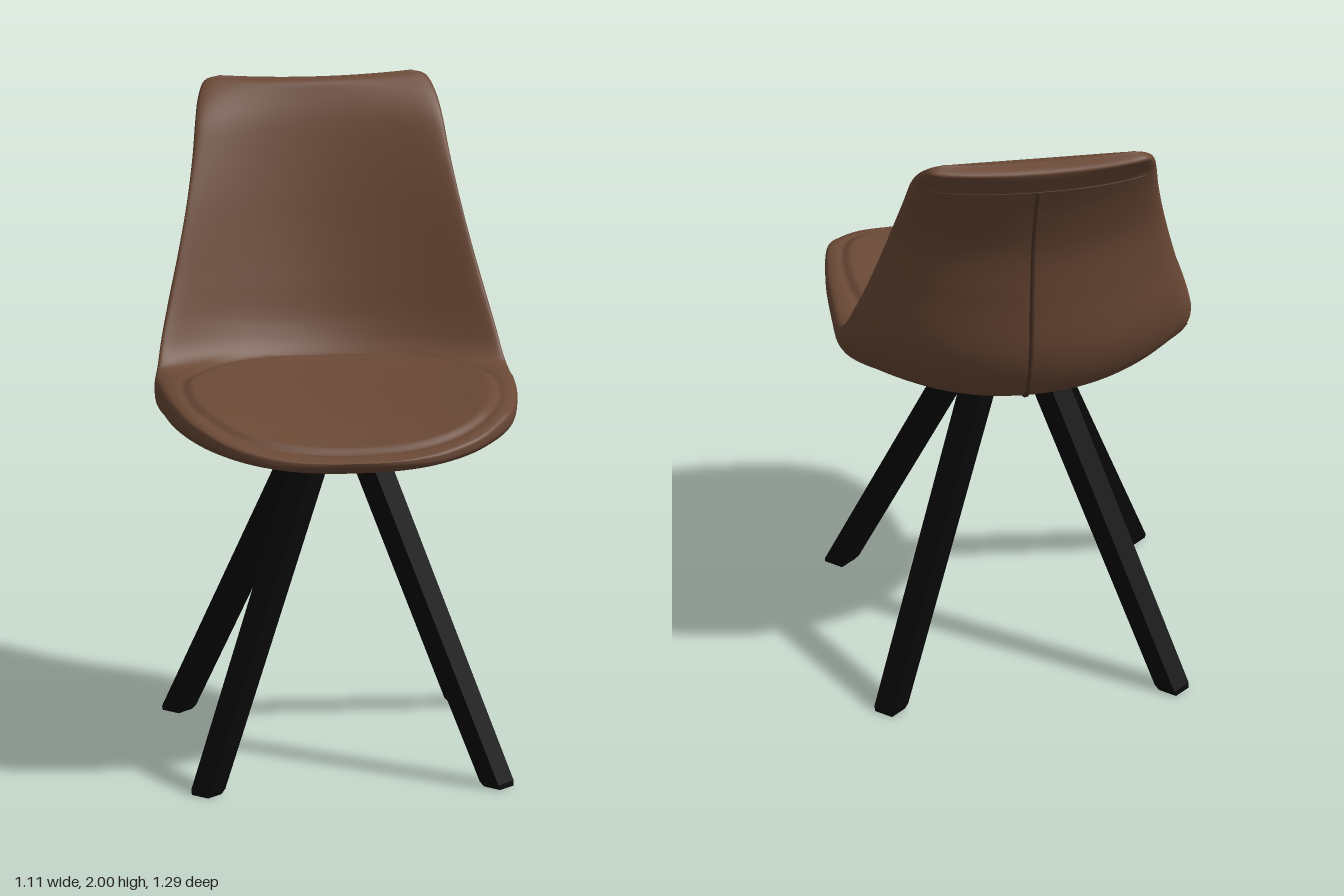
import * as THREE from 'three';
import { mergeVertices } from 'three/addons/utils/BufferGeometryUtils.js';

const leather = new THREE.MeshStandardMaterial({ color: 0x6b4936 });
leather.name = 'brown leather';
const stitching = new THREE.MeshStandardMaterial({ color: 0x4f3527 });
stitching.name = 'dark brown stitching';
const black = new THREE.MeshStandardMaterial({ color: 0x080808 });
black.name = 'black wood';

// Shell sections, front lip to top of back:
// half width, rim y, rim z, inner spine y, z, outer spine y, z
const SECTIONS = [
  [0.07, 1.093, 0.643, 1.093, 0.645, 1.093, 0.645],
  [0.17, 1.098, 0.633, 1.097, 0.636, 1.074, 0.636],
  [0.28, 1.113, 0.605, 1.103, 0.607, 1.053, 0.607],
  [0.39, 1.143, 0.55, 1.112, 0.55, 1.037, 0.55],
  [0.465, 1.175, 0.47, 1.125, 0.47, 1.018, 0.47],
  [0.515, 1.2, 0.38, 1.14, 0.38, 1.003, 0.38],
  [0.545, 1.208, 0.2, 1.15, 0.2, 0.977, 0.2],
  [0.555, 1.205, 0.02, 1.155, 0, 0.966, 0.02],
  [0.555, 1.195, -0.1, 1.16, -0.15, 0.966, -0.12],
  [0.54, 1.235, -0.15, 1.175, -0.27, 0.982, -0.27],
  [0.52, 1.32, -0.2, 1.26, -0.335, 1.05, -0.385],
  [0.49, 1.43, -0.255, 1.4, -0.38, 1.2, -0.455],
  [0.455, 1.55, -0.31, 1.54, -0.42, 1.42, -0.478],
  [0.425, 1.67, -0.365, 1.67, -0.455, 1.6, -0.5],
  [0.4, 1.79, -0.425, 1.79, -0.49, 1.76, -0.555],
  [0.385, 1.88, -0.475, 1.88, -0.52, 1.88, -0.61],
  [0.37, 1.94, -0.53, 1.945, -0.55, 1.95, -0.645],
  [0.345, 1.985, -0.585, 1.98, -0.572, 1.972, -0.643],
  [0.3, 2.0, -0.605, 1.987, -0.605, 1.987, -0.605],
];
const LAST = SECTIONS.length - 1;
const spline = (pick) => new THREE.CatmullRomCurve3(
  SECTIONS.map((s) => new THREE.Vector3(...pick(s))), false, 'catmullrom', 0.5);
const rim = spline((s) => [s[0], s[1], s[2]]);
const inner = spline((s) => [0, s[3], s[4]]);
const outer = spline((s) => [0, s[5], s[6]]);

// Raised seat pad with a sunken seam round its edge
function padHeight(x, z) {
  const n = z > 0.15 ? 2.8 : 2.3;
  const d = (Math.abs(x / 0.49) ** n + Math.abs((z - 0.15) / 0.435) ** n) ** (1 / n);
  const raise = 0.014 * THREE.MathUtils.smoothstep(1 - d, 0, 0.06);
  const groove = 0.004 * Math.exp(-(((d - 1) / 0.02) ** 2));
  return raise - groove;
}

// Point on the shell: row 0..LAST, s from -1 (right rim) to 1 (left rim)
function shellPoint(row, s, isOuter) {
  const t = row / LAST;
  const r = rim.getPoint(t), i = inner.getPoint(t), o = outer.getPoint(t);
  const a = Math.abs(s);
  const thickness = o.sub(i);
  const p = i.lerp(r, a * a);
  p.x = r.x * s;
  // The widest line sits behind a padded roll along the inner edge
  const setback = 0.25 * a * a;
  if (isOuter) {
    const depth = Math.cbrt(Math.max(0, 1 - a ** 3));
    p.addScaledVector(thickness, setback + (1 - setback) * depth);
  } else {
    const roll = 1.2 * Math.cbrt(Math.max(0, 1 - a ** 8));
    p.addScaledVector(thickness, setback * (1 - roll));
    if (p.y < 1.3) p.y += padHeight(p.x, p.z) * (1 - a ** 12);
  }
  return p;
}

// Closed loops: across the inside, back across the outside
function shellGeometry() {
  const N = 110, ROWS = 180, ring = 2 * N;
  const pos = [], idx = [];
  for (let j = 0; j <= ROWS; j++) {
    for (let k = 0; k < ring; k++) {
      const s = -Math.cos((Math.PI * k) / N);
      pos.push(...shellPoint((j / ROWS) * LAST, s, k > N).toArray());
    }
  }
  for (let j = 0; j < ROWS; j++) {
    for (let k = 0; k < ring; k++) {
      const a = j * ring + k, b = j * ring + ((k + 1) % ring);
      idx.push(a, b, a + ring, b, b + ring, a + ring);
    }
  }
  let g = new THREE.BufferGeometry();
  g.setAttribute('position', new THREE.Float32BufferAttribute(pos, 3));
  g.setIndex(idx);
  g = mergeVertices(g, 1e-5);
  g.computeVertexNormals();
  return g;
}

// Stitched seam lying on the outside of the shell
function seam(name, row0, s0, row1, s1, radius) {
  const pts = [];
  for (let k = 0; k <= 24; k++) {
    const f = k / 24;
    pts.push(shellPoint(row0 + (row1 - row0) * f, s0 + (s1 - s0) * f, true));
  }
  const g = new THREE.TubeGeometry(new THREE.CatmullRomCurve3(pts), 60, radius, 6);
  const m = new THREE.Mesh(g, stitching);
  m.name = name;
  return m;
}

// Square tapered leg, sheared from the foot to the hub
function leg(name, foot, top) {
  const group = new THREE.Group();
  group.name = name;
  const piece = (label, y0, y1, r0, r1) => {
    let g = new THREE.CylinderGeometry(r1, r0, y1 - y0, 4);
    g.translate(0, (y0 + y1) / 2, 0);
    const p = g.attributes.position;
    for (let k = 0; k < p.count; k++) {
      const f = p.getY(k) / 0.97;
      p.setX(k, p.getX(k) + foot[0] + (top[0] - foot[0]) * f);
      p.setZ(k, p.getZ(k) + foot[1] + (top[1] - foot[1]) * f);
    }
    g = g.toNonIndexed();
    g.computeVertexNormals();
    const m = new THREE.Mesh(g, black);
    m.name = label;
    group.add(m);
  };
  piece('legPost', 0.015, 0.99, 0.053, 0.06);
  piece('footTip', 0, 0.015, 0.046, 0.053);
  return group;
}

export function createModel() {
  const chair = new THREE.Group();
  chair.name = 'chair';

  const shell = new THREE.Mesh(shellGeometry(), leather);
  shell.name = 'seatShell';
  chair.add(shell);

  // Seams on the back and underside
  chair.add(seam('backCentreSeam', 9, 0, 15, 0, 0.008));
  chair.add(seam('backTopSeam', 15, -0.9, 15, 0.9, 0.003));
  for (const side of [-1, 1]) {
    const label = side > 0 ? 'leftSideSeam' : 'rightSideSeam';
    chair.add(seam(label, 8.3, side * 0.98, 8.3, side * 0.2, 0.003));
  }

  // Legs and the hub that joins them
  for (const side of [-1, 1]) {
    const label = side > 0 ? 'Left' : 'Right';
    chair.add(leg('front' + label + 'Leg', [side * 0.455, 0.498], [side * 0.09, 0.13]));
    chair.add(leg('rear' + label + 'Leg', [side * 0.445, -0.465], [side * 0.09, -0.06]));
  }
  const hub = new THREE.Mesh(new THREE.CylinderGeometry(0.15, 0.15, 0.03, 32), black);
  hub.name = 'hub';
  hub.position.set(0, 0.977, 0.035);
  chair.add(hub);

  return chair;
}
